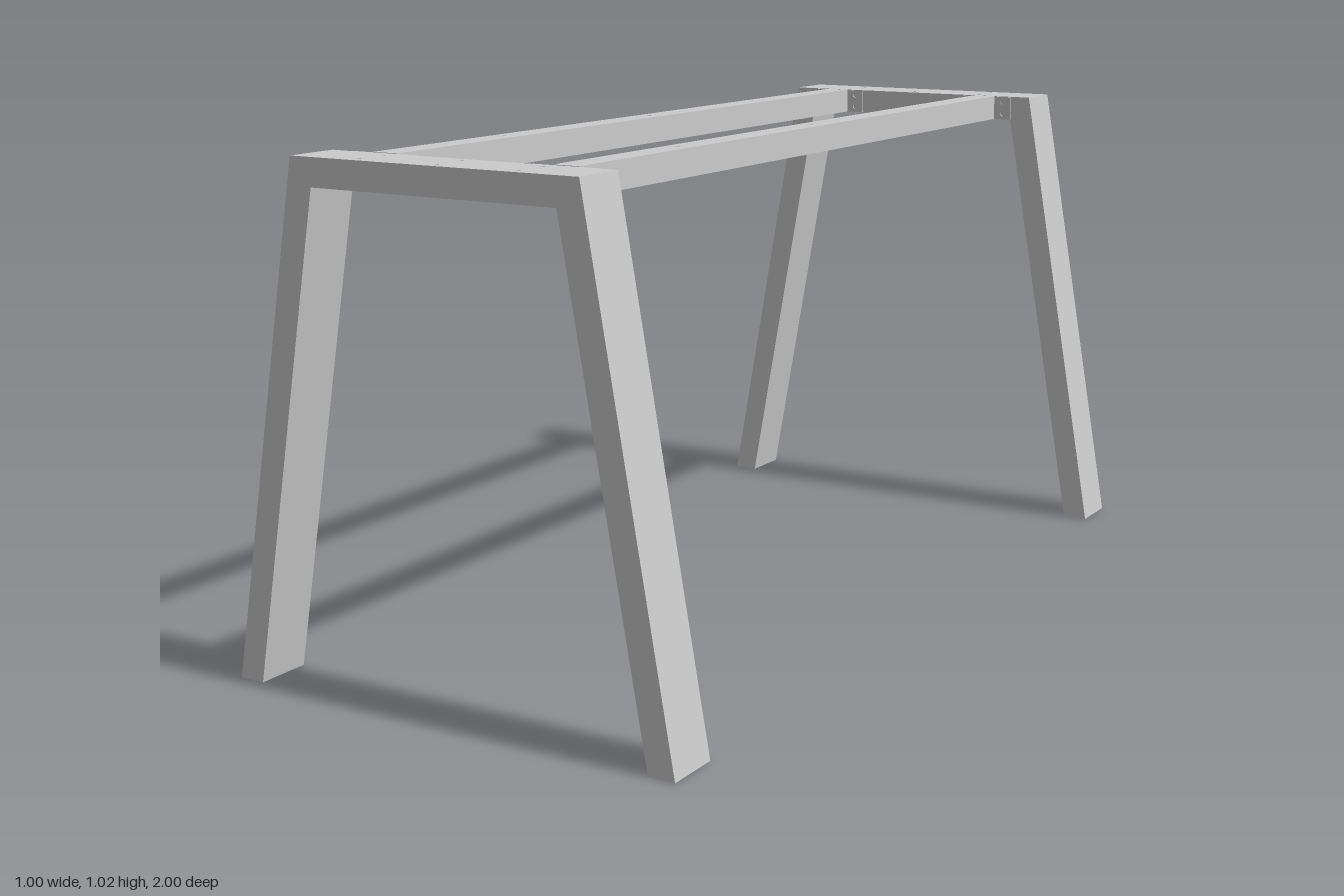
import * as THREE from 'three';

const WALL = 0.005;
const TOP = 1.025, UNDER = 0.97;        // top and underside of beams and rails
const DEPTH = 0.115;                    // depth of each end frame
const material = new THREE.MeshStandardMaterial({ color: 0xcccccc, flatShading: true });

// Flat plate in the xy plane with round holes, extruded along +z
function plate(points, depth, holes = [], radius = 0.005) {
  const shape = new THREE.Shape(points.map(([x, y]) => new THREE.Vector2(x, y)));
  for (const [x, y] of holes) {
    shape.holes.push(new THREE.Path().absarc(x, y, radius, 0, Math.PI * 2, true));
  }
  return new THREE.ExtrudeGeometry(shape, { depth, bevelEnabled: false, curveSegments: 12 });
}

const rect = (w, h) => [[-w / 2, -h / 2], [w / 2, -h / 2], [w / 2, h / 2], [-w / 2, h / 2]];

function add(parent, name, geometry, x = 0, y = 0, z = 0) {
  const mesh = new THREE.Mesh(geometry, material);
  mesh.name = name;
  mesh.position.set(x, y, z);
  parent.add(mesh);
  return mesh;
}

// Horizontal wall whose upper face is at y
function flatWall(parent, name, w, d, y, holes) {
  add(parent, name, plate(rect(w, d), WALL, holes).rotateX(Math.PI / 2), 0, y, 0);
}

// Hollow trapezoid frame: two splayed legs joined by a beam
function endFrame(name) {
  const frame = new THREE.Group();
  frame.name = name;
  const arch = [[-0.498, 0], [-0.443, 0], [-0.27, UNDER], [0.27, UNDER],
    [0.443, 0], [0.498, 0], [0.317, TOP], [-0.317, TOP]];
  add(frame, 'frameFrontWall', plate(arch, WALL), 0, 0, DEPTH / 2 - WALL);
  add(frame, 'frameBackWall', plate(arch, WALL), 0, 0, -DEPTH / 2);

  const inner = DEPTH - 2 * WALL;
  for (const s of [-1, 1]) {
    const outerWall = [[0.498, 0], [0.317, TOP], [0.317 - WALL, TOP], [0.498 - WALL, 0]];
    const innerWall = [[0.443, 0], [0.443 + WALL, 0], [0.27 + WALL, UNDER], [0.27, UNDER]];
    const flip = (pts) => pts.map(([x, y]) => [s * x, y]);
    add(frame, 'legOuterWall', plate(flip(outerWall), inner), 0, 0, -inner / 2);
    add(frame, 'legInnerWall', plate(flip(innerWall), inner), 0, 0, -inner / 2);
  }

  // Beam walls with screw holes
  const holes = [];
  for (const x of [-0.175, 0, 0.175]) for (const z of [-0.035, 0.035]) holes.push([x, z]);
  flatWall(frame, 'beamTop', 0.634, inner, TOP, holes);
  flatWall(frame, 'beamUnderside', 0.54 + 2 * WALL, inner, UNDER + WALL, holes);
  return frame;
}

// Hollow square rail with a bolt plate on each end
function rail(name) {
  const group = new THREE.Group();
  group.name = name;
  const back = -0.882, front = 0.874, size = TOP - UNDER;
  const length = front - back, mid = (front + back) / 2;
  const tube = new THREE.Group();
  tube.name = 'railTube';
  tube.position.z = mid;
  group.add(tube);
  const holes = [-0.525, -0.005, 0.515].map((z) => [0, z - mid]);
  flatWall(tube, 'railTop', size, length, TOP, holes);
  flatWall(tube, 'railUnderside', size, length, UNDER + WALL, holes);
  for (const s of [-1, 1]) {
    add(tube, 'railSide', new THREE.BoxGeometry(WALL, size - 2 * WALL, length),
      s * (size - WALL) / 2, (TOP + UNDER) / 2, 0);
  }

  const bolts = [];
  for (const x of [-0.05, 0.05]) for (const y of [-0.014, 0.014]) bolts.push([x, y]);
  for (const z of [back - 0.004, front]) {
    add(group, 'boltPlate', plate(rect(0.14, size - 0.002), 0.004, bolts, 0.006),
      0, (TOP + UNDER) / 2, z);
  }
  return group;
}

export function createModel() {
  const model = new THREE.Group();
  model.name = 'tableFrame';
  for (const s of [-1, 1]) {
    const frame = endFrame(s > 0 ? 'frontLegFrame' : 'backLegFrame');
    frame.position.z = s * (1 - DEPTH / 2);
    model.add(frame);

    const bar = rail(s > 0 ? 'leftRail' : 'rightRail');
    bar.position.x = s * 0.201;
    model.add(bar);
  }
  return model;
}
